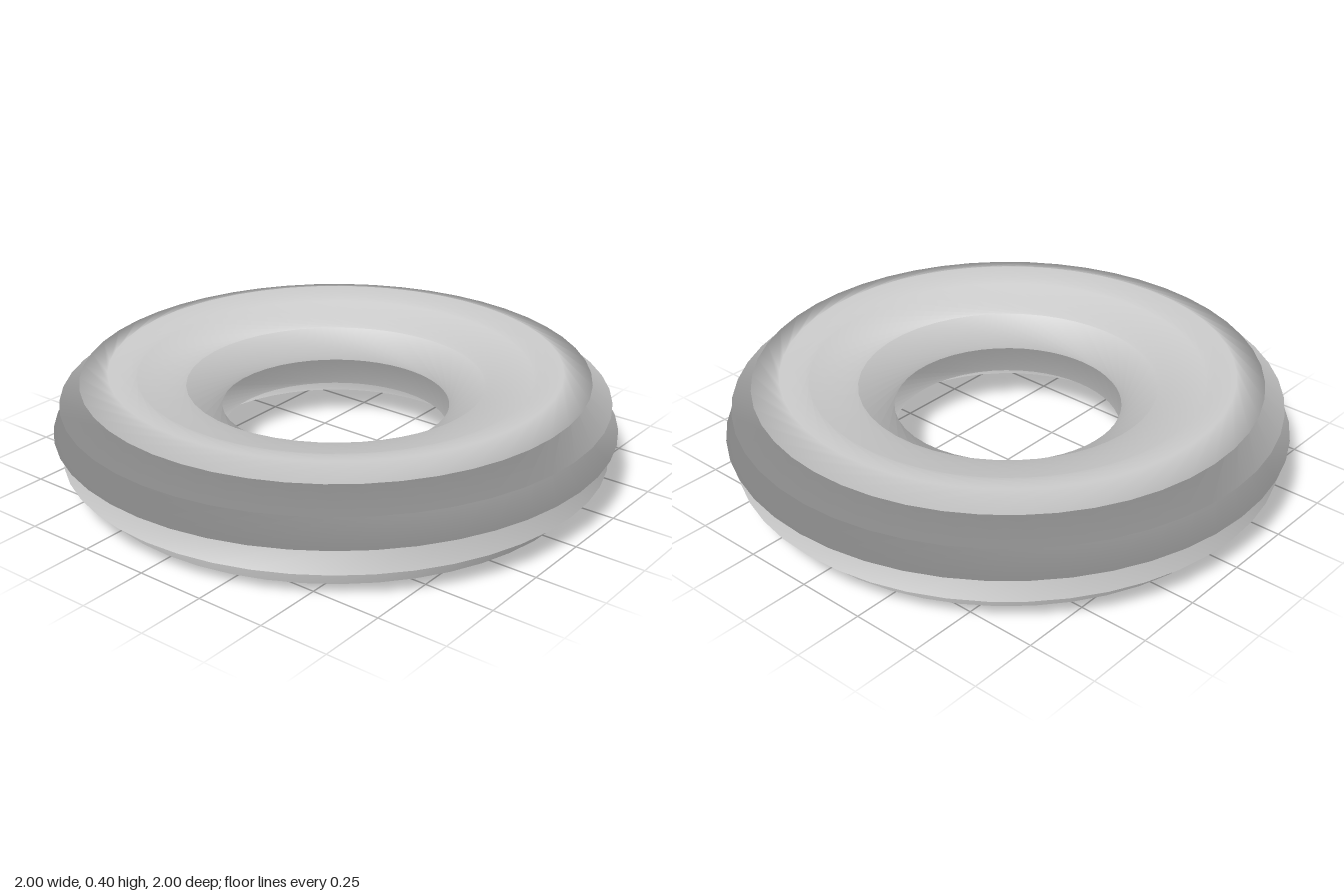
import * as THREE from 'three';

const RING = 0.8;              // centre radius of the ring
const TUBE = 0.2;              // radius of its tube
const AROUND = 48;             // segments around the ring
const SIDES = 12;              // sides of the tube
const TWIST = Math.PI / 0.2;   // rotation about y per unit of height

// A torus whose points are turned about the y axis in proportion to their height
function twistedTorus() {
  const positions = [], index = [];
  for (let j = 0; j < SIDES; j++) {
    const v = (j / SIDES) * Math.PI * 2;
    const r = RING + TUBE * Math.cos(v);
    const y = TUBE * Math.sin(v);
    for (let i = 0; i < AROUND; i++) {
      const a = (i / AROUND) * Math.PI * 2 + y * TWIST;
      positions.push(r * Math.cos(a), y + TUBE, -r * Math.sin(a));
    }
  }
  const at = (i, j) => (j % SIDES) * AROUND + (i % AROUND);
  for (let j = 0; j < SIDES; j++) {
    for (let i = 0; i < AROUND; i++) {
      const a = at(i, j), b = at(i + 1, j), c = at(i + 1, j + 1), d = at(i, j + 1);
      index.push(a, b, d, b, c, d);
    }
  }
  const geometry = new THREE.BufferGeometry();
  geometry.setAttribute('position', new THREE.Float32BufferAttribute(positions, 3));
  geometry.setIndex(index);
  geometry.computeVertexNormals();
  return geometry;
}

export function createModel() {
  const group = new THREE.Group();
  group.name = 'twistedRing';
  const material = new THREE.MeshStandardMaterial({ color: 0xcccccc, side: THREE.DoubleSide });
  const ring = new THREE.Mesh(twistedTorus(), material);
  ring.name = 'ring';
  group.add(ring);
  return group;
}
